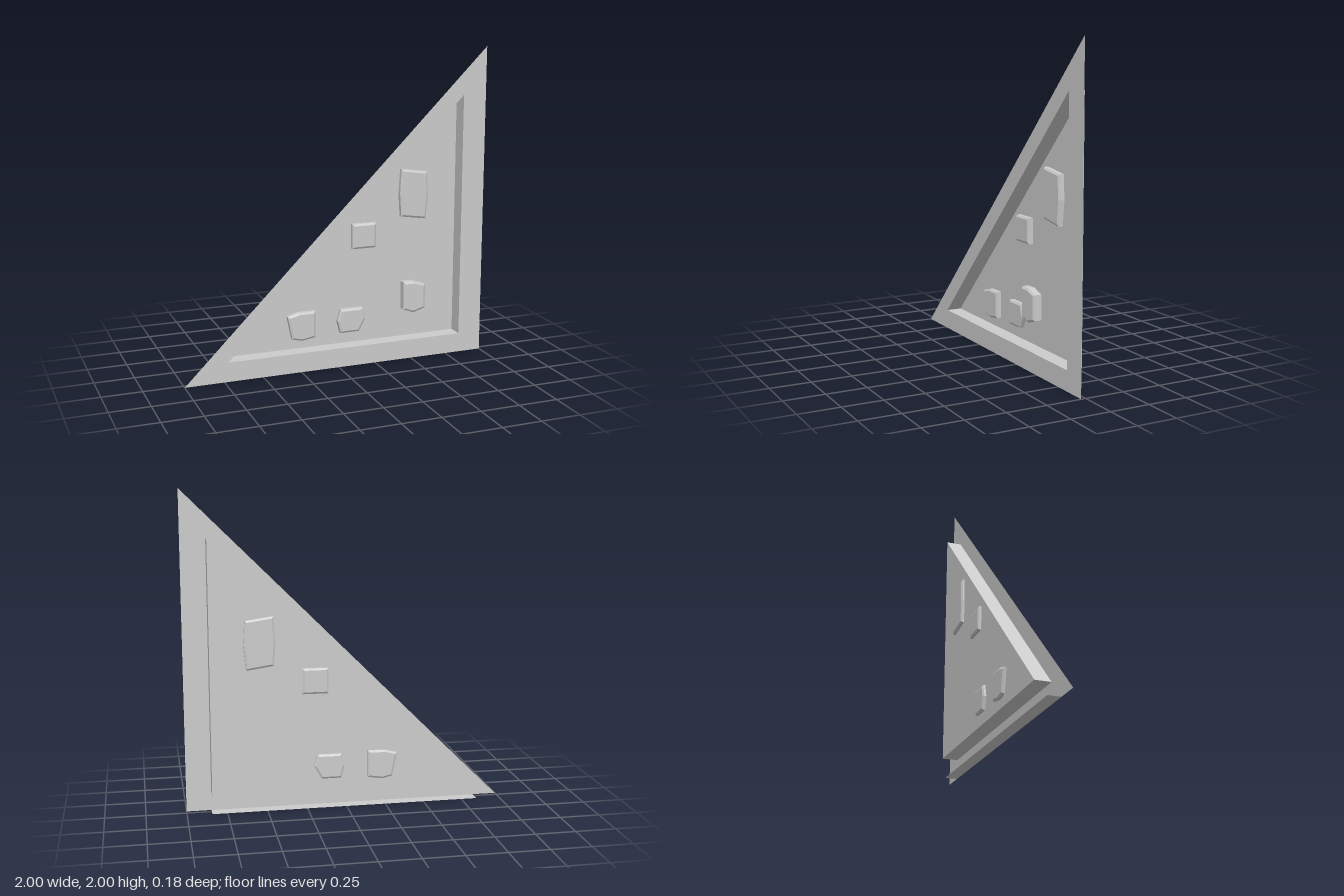
import * as THREE from 'three';

const material = new THREE.MeshStandardMaterial({ color: 0xcccccc, side: THREE.DoubleSide, flatShading: true });

const FRONT = 0.03;   // z of the face sheet
const FLOOR = -0.07;  // z of the recess floor

const toPoints = (list) => list.map(([x, y]) => new THREE.Vector2(x, y));

function addMesh(group, name, geometry) {
  const mesh = new THREE.Mesh(geometry, material);
  mesh.name = name;
  group.add(mesh);
  return mesh;
}

// Flat quad joining the line a-b at depth z0 to the same line at depth z1
function wall(a, b, z0, z1) {
  const g = new THREE.BufferGeometry();
  g.setAttribute('position', new THREE.Float32BufferAttribute([
    a[0], a[1], z0, b[0], b[1], z0, b[0], b[1], z1, a[0], a[1], z1,
  ], 3));
  g.setIndex([0, 1, 2, 0, 2, 3]);
  g.computeVertexNormals();
  return g;
}

// Faceted block with a chamfer on its front and back rims
function block(outline, z0, z1) {
  const bevel = 0.008, inset = 0.012;
  const g = new THREE.ExtrudeGeometry(new THREE.Shape(toPoints(outline)), {
    depth: z1 - z0 - 2 * bevel,
    bevelEnabled: true,
    bevelSegments: 1,
    bevelThickness: bevel,
    bevelSize: inset,
    bevelOffset: -inset,
  });
  g.translate(0, 0, z0 + bevel);
  return g;
}

export function createModel() {
  const model = new THREE.Group();
  model.name = 'triangularPanel';

  const outer = [[-1, 0], [1, 0], [1, 2]];
  const inner = [[-0.725, 0.125], [0.845, 0.125], [0.845, 1.7]];

  // Thin face sheet with a triangular opening
  const rim = new THREE.Shape(toPoints(outer));
  rim.holes.push(new THREE.Path(toPoints(inner)));
  addMesh(model, 'faceSheet', new THREE.ShapeGeometry(rim)).position.z = FRONT;

  // Recessed tray behind the opening
  const tray = new THREE.Group();
  tray.name = 'recessTray';
  model.add(tray);
  addMesh(tray, 'recessFloor', new THREE.ShapeGeometry(new THREE.Shape(toPoints(inner)))).position.z = FLOOR;
  ['bottomWall', 'sideWall', 'slopingWall'].forEach((name, i) => {
    addMesh(tray, name, wall(inner[i], inner[(i + 1) % 3], FRONT, FLOOR));
  });

  // Narrow flange folded back along the bottom edge
  addMesh(model, 'bottomFlange', wall([-0.85, 0], [0.845, 0], FRONT, -0.05));

  // Blocks set through the recess floor, and one standing in front of it
  const blocks = {
    tallBlock: [[0.455, 1.235], [0.445, 1.08], [0.455, 0.93], [0.625, 0.905], [0.64, 1.06], [0.63, 1.21]],
    squareBlock: [[0.12, 0.905], [0.12, 0.745], [0.28, 0.745], [0.28, 0.905]],
    hexagonalBlock: [[0.04, 0.355], [0.02, 0.28], [0.04, 0.2], [0.165, 0.2], [0.21, 0.28], [0.19, 0.355]],
    taperedBlock: [[-0.315, 0.345], [-0.285, 0.195], [-0.22, 0.18], [-0.13, 0.195], [-0.13, 0.365], [-0.24, 0.365]],
  };
  for (const [name, outline] of Object.entries(blocks)) {
    addMesh(model, name, block(outline, -0.09, -0.035));
  }
  const raised = [[0.42, 0.53], [0.42, 0.35], [0.49, 0.325], [0.57, 0.35], [0.57, 0.505], [0.49, 0.53]];
  addMesh(model, 'raisedBlock', block(raised, 0.03, 0.09));

  return model;
}
